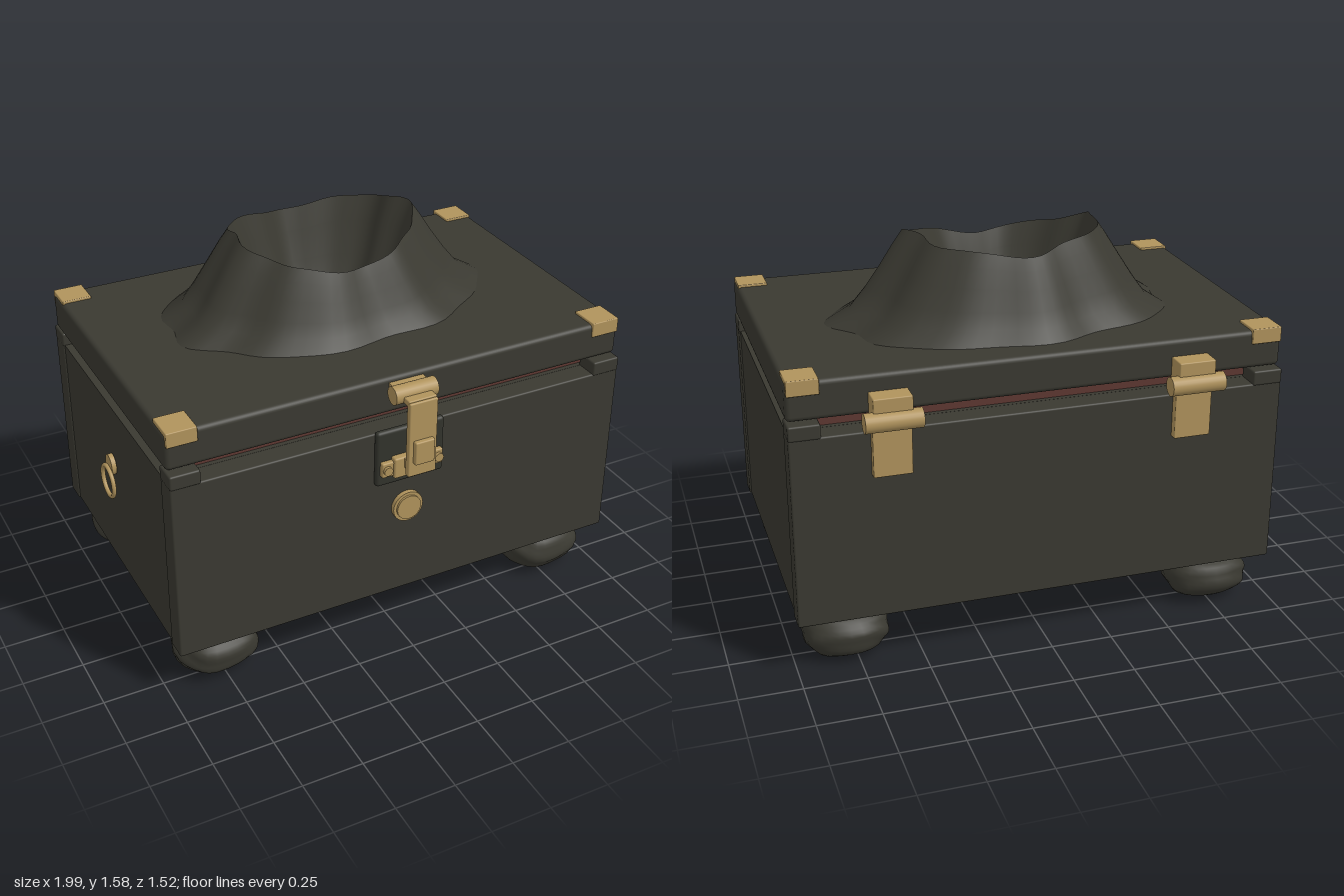
import * as THREE from 'three';
import { RoundedBoxGeometry } from 'three/addons/geometries/RoundedBoxGeometry.js';

const paint = (name, color, side = THREE.FrontSide) => {
  const m = new THREE.MeshStandardMaterial({ color, side });
  m.name = name;
  return m;
};

export function createModel() {
  const model = new THREE.Group();
  model.name = 'volcanoChest';
  const dark = paint('charcoal', 0x3a3931);
  const rock = paint('rock', 0x3a3931, THREE.DoubleSide);
  const plateDark = paint('darkPlate', 0x32332c);
  const brass = paint('brass', 0xb0935c);
  const lining = paint('redLining', 0x5e3831);
  const lava = paint('lava', 0xb85c22, THREE.DoubleSide);
  const CX = 0.014;

  const add = (name, geo, mat, x = 0, y = 0, z = 0) => {
    const m = new THREE.Mesh(geo, mat);
    m.name = name;
    m.position.set(x, y, z);
    model.add(m);
    return m;
  };
  // Box given by its limits on each axis, with optional rounded edges
  const box = (name, mat, [x0, x1], [y0, y1], [z0, z1], r = 0) => {
    const s = [x1 - x0, y1 - y0, z1 - z0];
    const geo = r ? new RoundedBoxGeometry(...s, 3, r) : new THREE.BoxGeometry(...s);
    return add(name, geo, mat, (x0 + x1) / 2, (y0 + y1) / 2, (z0 + z1) / 2);
  };
  const rod = (name, mat, r, len, x, y, z, axis = 'x', sides = 24) => {
    const geo = new THREE.CylinderGeometry(r, r, len, sides);
    if (axis === 'x') geo.rotateZ(Math.PI / 2); else geo.rotateX(Math.PI / 2);
    return add(name, geo, mat, x, y, z);
  };

  // Body: thick front and back slabs, side panels between them, plinth
  box('frontWall', dark, [-0.967, 0.995], [0.22, 0.997], [0.535, 0.63], 0.008);
  box('backWall', dark, [-0.967, 0.995], [0.22, 0.997], [-0.675, -0.58], 0.008);
  box('sidePanels', dark, [-0.96, 0.988], [0.225, 0.997], [-0.585, 0.54]);
  box('plinth', dark, [-0.885, 0.91], [0.19, 0.24], [-0.58, 0.535], 0.012);
  box('lining', lining, [-0.9, 0.92], [0.98, 1.06], [-0.565, 0.52]);
  for (const x of [[-0.967, -0.845], [0.873, 0.995]])
    for (const z of [[0.532, 0.633], [-0.678, -0.577]])
      box('cornerBlock', dark, x, [0.99, 1.05], z, 0.008);

  // Lid with metal corners
  box('lid', dark, [-0.967, 0.995], [1.055, 1.21], [-0.65, 0.602], 0.02);
  for (const x of [[-0.962, -0.84], [0.868, 0.99]])
    for (const z of [[0.482, 0.61], [-0.66, -0.535]])
      box('lidCorner', brass, x, [1.158, 1.22], z, 0.004);

  // Lumpy feet
  let i = 0;
  for (const x of [-0.757, 0.787]) for (const z of [0.457, -0.505]) {
    const geo = new THREE.SphereGeometry(1, 28, 20);
    const p = geo.attributes.position;
    const k = i++ * 1.7;
    for (let v = 0; v < p.count; v++) {
      const a = p.getX(v), b = p.getY(v), c = p.getZ(v);
      const s = 1 + 0.035 * Math.sin(5 * a + k) * Math.cos(4 * c - k) + 0.025 * Math.sin(9 * b + 6 * c + k);
      p.setXYZ(v, Math.sign(a) * Math.abs(a) ** 0.85 * 0.172 * s, Math.sign(b) * Math.abs(b) ** 0.9 * 0.1 * s,
        Math.sign(c) * Math.abs(c) ** 0.85 * 0.147 * s);
    }
    geo.computeVertexNormals();
    add('foot', geo, dark, x, 0.105, z);
  }

  // Volcano: rippled oval rings joined into a surface
  const N = 72;
  const rimY = t => 1.53 - 0.025 * Math.sin(t) + 0.04 * Math.cos(2 * t) + 0.008 * Math.cos(6 * t + 0.5);
  const loft = rings => {
    const pos = [], idx = [];
    rings.forEach(([rx, rz, h, cx, cz], r) => {
      for (let j = 0; j < N; j++) {
        const t = (j / N) * Math.PI * 2;
        const s = 1 + 0.028 * Math.sin(7 * t + 0.6) + 0.018 * Math.cos(11 * t) + 0.015 * Math.sin(4 * t);
        pos.push(cx + rx * s * Math.cos(t), 1.208 + h * (rimY(t) - 1.208), cz + rz * s * Math.sin(t));
        if (r) {
          const a = (r - 1) * N + j, b = (r - 1) * N + (j + 1) % N;
          idx.push(a, a + N, b, b, a + N, b + N);
        }
      }
    });
    const geo = new THREE.BufferGeometry();
    geo.setAttribute('position', new THREE.Float32BufferAttribute(pos, 3));
    geo.setIndex(idx);
    geo.computeVertexNormals();
    return geo;
  };
  add('volcanoSlope', loft([
    [0.69, 0.44, 0, 0.02, -0.1], [0.59, 0.40, 0.17, 0.015, -0.1], [0.535, 0.37, 0.37, 0.012, -0.1],
    [0.475, 0.335, 0.62, 0.01, -0.1], [0.425, 0.305, 0.84, 0.01, -0.1], [0.385, 0.28, 1, 0.01, -0.1],
  ]), rock);
  add('craterWall', loft([
    [0.385, 0.28, 1, 0.01, -0.1], [0.345, 0.25, 0.7, 0.01, -0.1],
    [0.3, 0.215, 0.3, 0.01, -0.097], [0.255, 0.183, 0.02, 0.01, -0.095],
  ]), rock);
  add('lavaPool', loft([[0.262, 0.188, 0.04, 0.01, -0.095], [0, 0, 0.04, 0.01, -0.095]]), lava);

  // Front latch
  box('latchPlate', plateDark, [-0.135, 0.162], [0.765, 1.01], [0.625, 0.655], 0.014);
  box('latchBase', brass, [-0.12, 0.148], [0.815, 0.88], [0.65, 0.675], 0.006);
  box('latchCatch', brass, [-0.072, 0.1], [0.805, 0.895], [0.65, 0.685], 0.008);
  for (const x of [-0.098, 0.126]) rod('latchScrew', brass, 0.019, 0.02, x, 0.848, 0.677, 'z', 12);
  box('hasp', brass, [-0.047, 0.075], [0.84, 1.165], [0.718, 0.745], 0.006);
  box('haspFoot', brass, [-0.03, 0.058], [0.85, 0.89], [0.68, 0.72]);
  box('haspTab', brass, [-0.028, 0.056], [0.9, 1.0], [0.74, 0.765], 0.006);
  box('haspArm', brass, [-0.047, 0.075], [1.145, 1.172], [0.65, 0.735], 0.005);
  rod('haspPivot', brass, 0.037, 0.182, CX, 1.167, 0.66);
  box('pivotBracket', brass, [-0.06, 0.088], [1.135, 1.19], [0.595, 0.65]);

  // Round lock boss
  rod('lockRing', brass, 0.066, 0.022, CX, 0.63, 0.638, 'z', 32);
  rod('lockBoss', brass, 0.053, 0.03, CX, 0.63, 0.643, 'z', 32);

  // Back hinges
  for (const x of [-0.58, 0.615]) {
    rod('hingeBarrel', brass, 0.038, 0.22, x, 1.05, -0.722);
    box('hingeUpperLeaf', brass, [x - 0.075, x + 0.075], [1.055, 1.142], [-0.73, -0.645], 0.005);
    box('hingeLowerLeaf', brass, [x - 0.075, x + 0.075], [0.82, 1.04], [-0.705, -0.67], 0.004);
  }

  // Ring handle on the right side
  const mount = rod('handleMount', brass, 0.045, 0.02, -0.973, 0.725, -0.03, 'x', 20);
  mount.scale.z = 0.9;
  const ring = new THREE.TorusGeometry(0.066, 0.0095, 10, 32);
  ring.rotateY(Math.PI / 2);
  add('handleRing', ring, brass, -0.99, 0.65, -0.03);

  return model;
}
